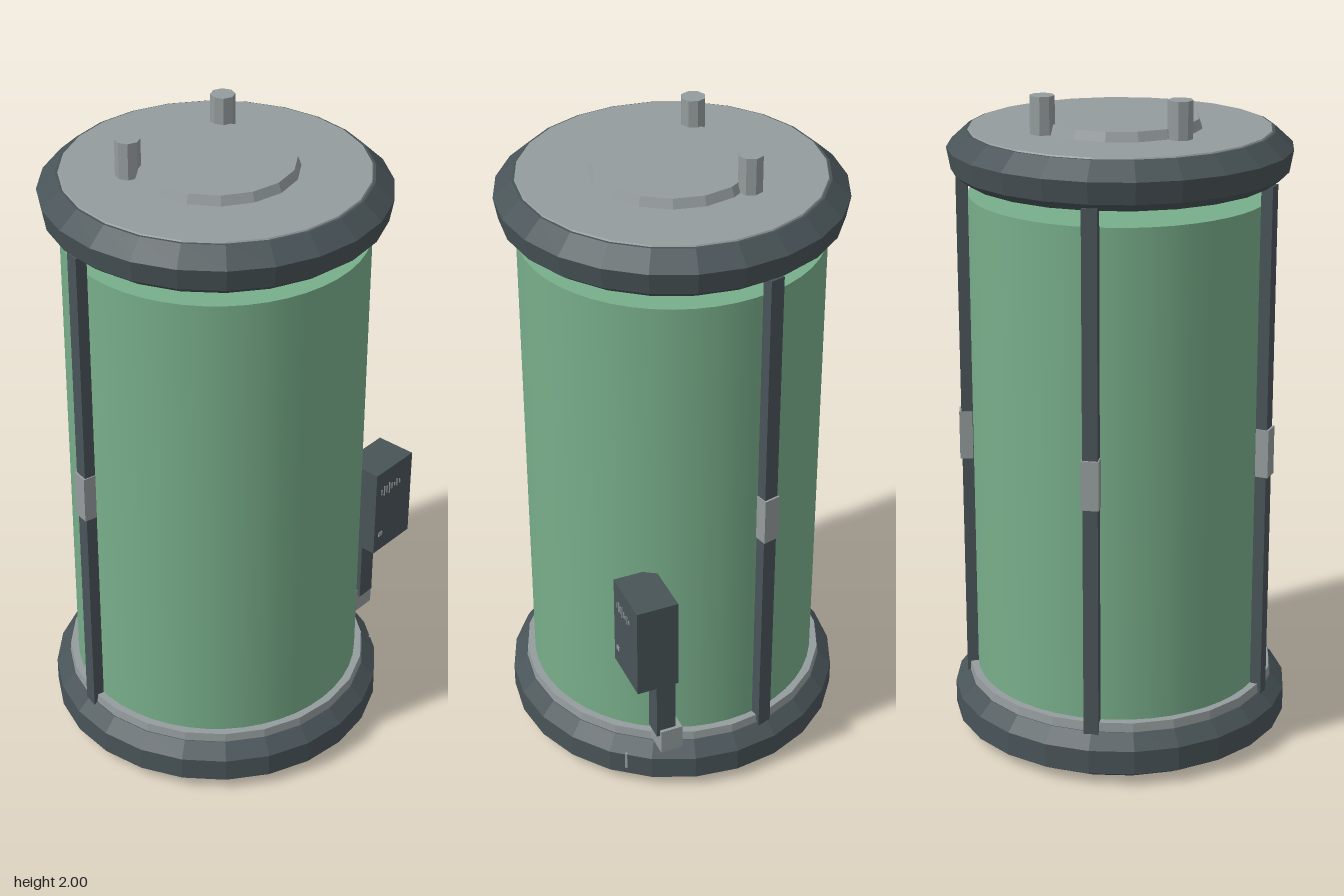
import * as THREE from 'three';

export function createModel() {
  const mat = (name, color, opts = {}) => {
    const m = new THREE.MeshStandardMaterial({ color, ...opts });
    m.name = name;
    return m;
  };
  const dark = mat('dark steel', 0x495458, { flatShading: true });
  const grey = mat('light grey metal', 0x959c9d, { flatShading: true });
  const green = mat('green tank', 0x78ae8a);

  const model = new THREE.Group();
  model.name = 'storageTank';
  // everything round shares an axis slightly left of the centre, offset by the control box
  const tank = new THREE.Group();
  tank.name = 'tank';
  tank.position.x = -0.016;
  model.add(tank);

  const add = (parent, name, geometry, material, x = 0, y = 0, z = 0) => {
    const mesh = new THREE.Mesh(geometry, material);
    mesh.name = name;
    mesh.position.set(x, y, z);
    parent.add(mesh);
    return mesh;
  };
  const box = (w, h, d) => new THREE.BoxGeometry(w, h, d);
  const lathe = (points, sides) =>
    new THREE.LatheGeometry(points.map(([r, y]) => new THREE.Vector2(r, y)), sides);

  // bevelled base, seat ring and tank body
  add(tank, 'base', lathe([[0, 0], [0.455, 0], [0.522, 0.04], [0.522, 0.115], [0.48, 0.157], [0, 0.157]], 24), dark);
  add(tank, 'seatRing', new THREE.CylinderGeometry(0.475, 0.478, 0.035, 24), grey, 0, 0.168, 0);
  add(tank, 'body', new THREE.CylinderGeometry(0.45, 0.45, 1.53, 48), green, 0, 0.93, 0);

  // lid with its plate, raised disc and two pegs
  add(tank, 'lid', lathe([[0, 1.745], [0.465, 1.745], [0.498, 1.77], [0.51, 1.835], [0.455, 1.885], [0, 1.885]], 24), dark);
  add(tank, 'lidPlate', new THREE.CylinderGeometry(0.445, 0.45, 0.008, 24), grey, 0, 1.885, 0);
  add(tank, 'raisedDisc', new THREE.CylinderGeometry(0.232, 0.243, 0.03, 16), grey, 0, 1.902, 0);
  for (const side of [-1, 1]) {
    add(tank, side > 0 ? 'leftPeg' : 'rightPeg', new THREE.CylinderGeometry(0.037, 0.037, 0.115, 8),
      grey, side * 0.2, 1.9425, -0.152);
  }

  // three upright posts, each with a clip at mid height
  const posts = [['leftPost', 103.5], ['backPost', 180], ['rightPost', -103.5]];
  for (const [name, degrees] of posts) {
    const post = new THREE.Group();
    post.name = name;
    post.rotation.y = THREE.MathUtils.degToRad(degrees);
    add(post, 'rail', box(0.045, 1.61, 0.035), dark, 0, 0.95, 0.467);
    add(post, 'clip', box(0.052, 0.15, 0.04), grey, 0, 0.945, 0.471);
    tank.add(post);
  }

  // control box on its arm and clamp
  add(model, 'clamp', box(0.08, 0.083, 0.07), grey, 0.441, 0.217, 0.213);
  add(model, 'arm', box(0.062, 0.29, 0.062), dark, 0.44, 0.382, 0.227);
  add(model, 'controlBox', box(0.18, 0.3, 0.13), dark, 0.445, 0.64, 0.28);

  // small indicator marks on the face of the control box
  const bars = [0.018, 0.034, 0.024, 0.038, 0.02, 0.012, 0.026, 0.014];
  bars.forEach((h, i) =>
    add(model, 'indicatorBar', box(0.004, h, 0.003), grey, 0.383 + i * 0.013, 0.715, 0.346));
  add(model, 'indicatorLight', box(0.018, 0.015, 0.003), grey, 0.385, 0.552, 0.346);

  // narrow marker on the rim of the base
  const marker = add(tank, 'baseMarker', box(0.007, 0.06, 0.008), grey, 0.4, 0.09, 0.325);
  marker.rotation.y = Math.atan2(0.4, 0.325);

  return model;
}
